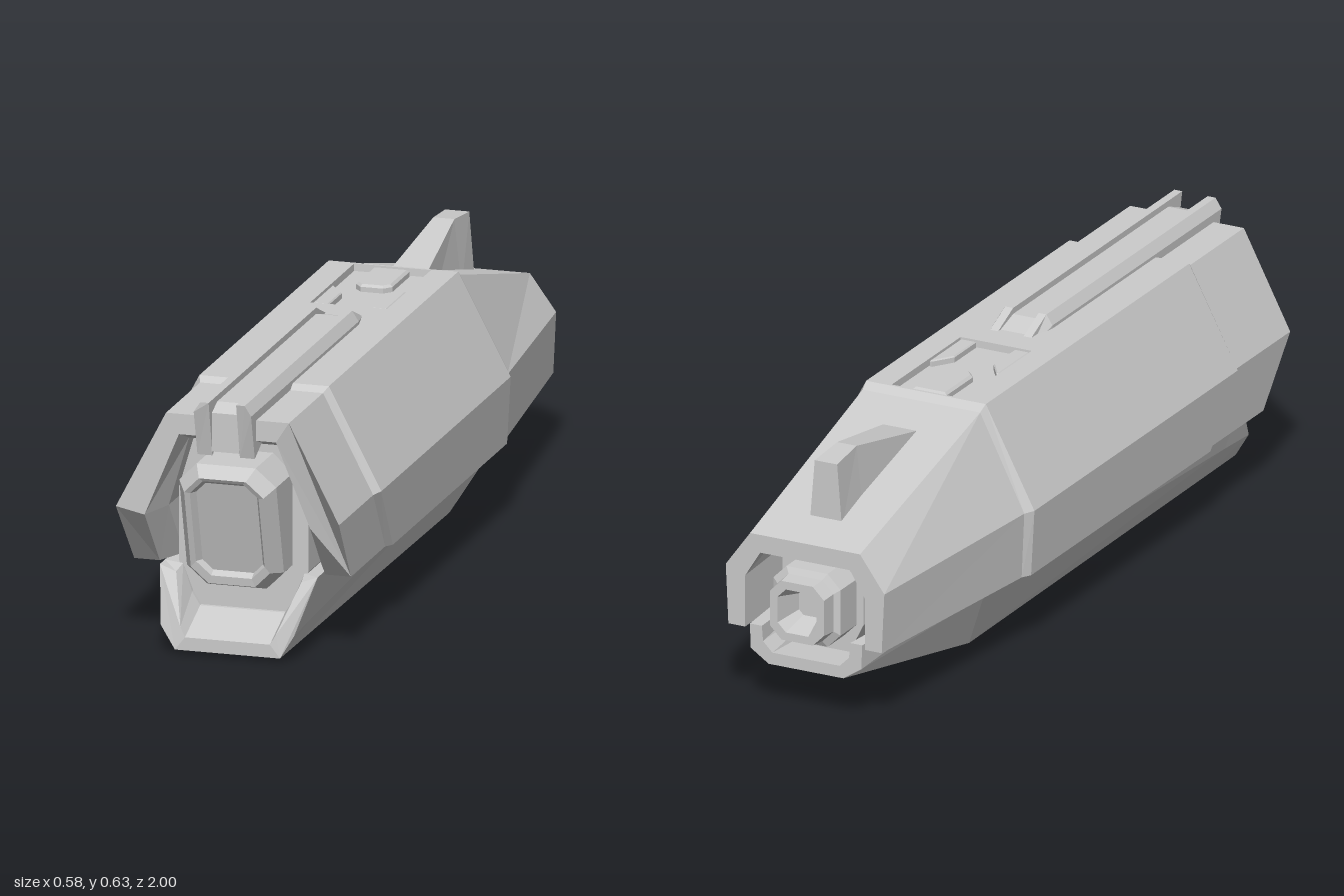
import * as THREE from 'three';

const material = new THREE.MeshStandardMaterial({ color: 0xcccccc, flatShading: true });

// Skin a row of closed rings (counter-clockwise seen from +z) and cap both ends.
function loft(name, rings) {
  const pos = [];
  const tri = (a, b, c) => pos.push(...a, ...b, ...c);
  for (let s = 0; s < rings.length - 1; s++) {
    const A = rings[s], B = rings[s + 1];
    for (let i = 0; i < A.length; i++) {
      const j = (i + 1) % A.length;
      tri(A[i], B[i], B[j]);
      tri(A[i], B[j], A[j]);
    }
  }
  const cap = (ring, facing) => {
    const flat = ring.map(([x, y]) => new THREE.Vector2(x, y));
    for (const [a, b, c] of THREE.ShapeUtils.triangulateShape(flat, [])) {
      const ccw = THREE.ShapeUtils.area([flat[a], flat[b], flat[c]]) > 0;
      if (ccw === facing > 0) tri(ring[a], ring[b], ring[c]);
      else tri(ring[a], ring[c], ring[b]);
    }
  };
  cap(rings[0], 1);
  cap(rings[rings.length - 1], -1);
  const geo = new THREE.BufferGeometry();
  geo.setAttribute('position', new THREE.Float32BufferAttribute(pos, 3));
  geo.computeVertexNormals();
  const mesh = new THREE.Mesh(geo, material);
  mesh.name = name;
  return mesh;
}

// Complete a right-hand half profile with its mirror image.
const flip = (ring) => ring.map(([x, y, z]) => [-x, y, z]).reverse();
const mirror = (half) => [...half, ...flip(half)];

// Chamfered rectangle; lean pushes the top forward.
function octagon(w, y0, y1, c, z, lean = 0) {
  const half = [[w - c, y0], [w, y0 + c], [w, y1 - c], [w - c, y1]];
  return mirror(half.map(([x, y]) => [x, y, z + lean * (y - 0.42)]));
}

// One arch section of the shell; sweep moves the skirt back, notch sinks the roof panel.
function arch(z, sweep, [bx, mx, my, tx, ty], [ix, imy, itx, ity], notch = 0) {
  return mirror([
    [itx, ity, z], [ix, imy, z], [ix, 0.19, z - sweep],
    [bx, 0.19, z - sweep], [mx, my, z], [tx, ty, z],
    [0.095, ty, z], [0.095, ty - notch, z],
  ]);
}

function buildShell() {
  const collar = [0.268, 0.276, 0.35, 0.152, 0.59];
  const main = [0.281, 0.29, 0.355, 0.16, 0.602];
  const inner = [0.17, 0.34, 0.12, 0.51];
  return loft('upperShell', [
    arch(0.96, 0.12, collar, [0.205, 0.335, 0.12, 0.54]),
    arch(0.88, 0.12, collar, inner),
    arch(0.7, 0.12, collar, inner),
    arch(0.69, 0.12, collar, inner),
    arch(0.67, 0.12, main, inner),
    arch(0.001, 0, main, inner),
    arch(0, 0, main, inner, 0.018),
    arch(-0.344, 0, main, inner, 0.018),
    arch(-0.345, 0, main, inner),
    arch(-0.352, 0, main, inner),
    arch(-0.375, 0, [0.268, 0.275, 0.353, 0.157, 0.588], inner),
    arch(-0.96, 0, [0.205, 0.212, 0.34, 0.147, 0.43], [0.16, 0.32, 0.12, 0.385]),
  ]);
}

// Lower hull: an open tray whose side crease climbs toward the rear.
function buildHull() {
  return loft('lowerHull', [
    mirror([[0.13, 0.01, 0.96], [0.165, 0.068, 0.96], [0.195, 0.19, 0.87],
      [0.155, 0.175, 0.87], [0.118, 0.065, 0.955], [0.105, 0.042, 0.96]]),
    mirror([[0.13, 0.009, 0.84], [0.165, 0.074, 0.84], [0.195, 0.19, 0.83],
      [0.15, 0.185, 0.83], [0.125, 0.12, 0.84], [0.105, 0.088, 0.84]]),
    mirror([[0.13, 0, -0.38], [0.18, 0.135, -0.4], [0.195, 0.19, -0.4],
      [0.15, 0.185, -0.4], [0.13, 0.15, -0.4], [0.105, 0.088, -0.4]]),
    mirror([[0.1, 0.105, -0.955], [0.148, 0.137, -0.955], [0.15, 0.198, -0.955],
      [0.118, 0.198, -0.955], [0.115, 0.16, -0.955], [0.09, 0.135, -0.955]]),
  ]);
}

function buildCore() {
  const section = (z, k) => mirror([
    [0.105, 0.08, z], [0.16, 0.19, z], [0.16, 0.385, z], [0.12, 0.512, z],
  ].map(([x, y]) => [x * k, 0.26 + (y - 0.26) * k, z]));
  return loft('innerCore', [section(0.83, 1), section(-0.4, 1), section(-0.87, 0.68)]);
}

// Leaning front muzzle with a shallow recessed panel.
function buildMuzzle() {
  const lean = 0.27;
  return loft('frontMuzzle', [
    octagon(0.075, 0.2, 0.43, 0.025, 0.97, lean),
    octagon(0.085, 0.19, 0.44, 0.035, 0.99, lean),
    octagon(0.098, 0.17, 0.448, 0.04, 0.993, lean),
    octagon(0.12, 0.156, 0.475, 0.047, 0.955, lean),
    octagon(0.12, 0.156, 0.475, 0.047, 0.78),
  ]);
}

// Rear nozzle with a tapering bore.
function buildNozzle() {
  return loft('rearNozzle', [
    octagon(0.09, 0.175, 0.36, 0.035, -0.82),
    octagon(0.09, 0.175, 0.36, 0.035, -0.95),
    octagon(0.075, 0.19, 0.345, 0.03, -0.958),
    octagon(0.072, 0.193, 0.342, 0.03, -1),
    octagon(0.052, 0.213, 0.322, 0.022, -1),
    octagon(0.032, 0.235, 0.3, 0.012, -0.93),
  ]);
}

// Twin rails along the roof with a filler between them.
function buildRails() {
  const group = new THREE.Group();
  group.name = 'roofRails';
  const rail = (zTop, zLow, w, top, low) => [
    [0.034, low, zLow], [w, low, zLow], [w, top - 0.025, zTop],
    [0.055, top, zTop], [0.034, top, zTop],
  ];
  const right = [
    rail(1, 0.97, 0.071, 0.635, 0.498),
    rail(0.9, 0.9, 0.071, 0.635, 0.53),
    rail(0.15, 0.15, 0.071, 0.635, 0.55),
    rail(0.07, 0.07, 0.056, 0.6, 0.55),
  ];
  group.add(loft('leftRail', right), loft('rightRail', right.map(flip)));
  const filler = (z, top, low) => mirror([[0.035, low, z], [0.035, top, z]]);
  group.add(loft('railFiller', [
    filler(0.975, 0.604, 0.509), filler(0.93, 0.62, 0.52),
    filler(0.15, 0.62, 0.55), filler(0.08, 0.6, 0.55),
  ]));
  return group;
}

// Raised pieces that sit in the sunken roof panel.
function buildPanel() {
  const group = new THREE.Group();
  group.name = 'roofPanel';
  const plate = (name, pts, top, bevel) => {
    const shape = new THREE.Shape(pts.map(([x, z]) => new THREE.Vector2(x, -z)));
    const geo = new THREE.ExtrudeGeometry(shape, {
      depth: 0.02, bevelEnabled: bevel > 0, bevelThickness: bevel,
      bevelSize: bevel, bevelOffset: -bevel, bevelSegments: 1,
    });
    geo.rotateX(-Math.PI / 2).translate(0, top - 0.02 - bevel, 0);
    const mesh = new THREE.Mesh(geo, material);
    mesh.name = name;
    group.add(mesh);
  };
  const tongue = [[0.045, -0.335], [0.045, -0.2], [0.028, -0.18]];
  plate('hatch', [...tongue, ...flip(tongue)].map(([x, z]) => [x, z]), 0.602, 0.006);
  const corner = [[0.092, -0.16], [0.092, -0.004], [0.052, -0.004], [0.052, -0.11], [0.086, -0.16]];
  plate('leftCorner', corner, 0.6, 0.003);
  plate('rightCorner', flip(corner).map(([x, z]) => [x, z]), 0.6, 0.003);
  return group;
}

// Sight fin rising from the sloping tail.
function buildFin() {
  const section = (z, base, top, y) => mirror([[base, 0.44, z], [top, y, z]]);
  return loft('tailFin', [
    section(-0.48, 0.05, 0.045, 0.558),
    section(-0.75, 0.044, 0.026, 0.61),
    section(-0.855, 0.043, 0.03, 0.6),
  ]);
}

export function createModel() {
  const model = new THREE.Group();
  model.name = 'model';
  model.add(
    buildShell(), buildHull(), buildCore(), buildMuzzle(),
    buildNozzle(), buildRails(), buildPanel(), buildFin(),
  );
  return model;
}
